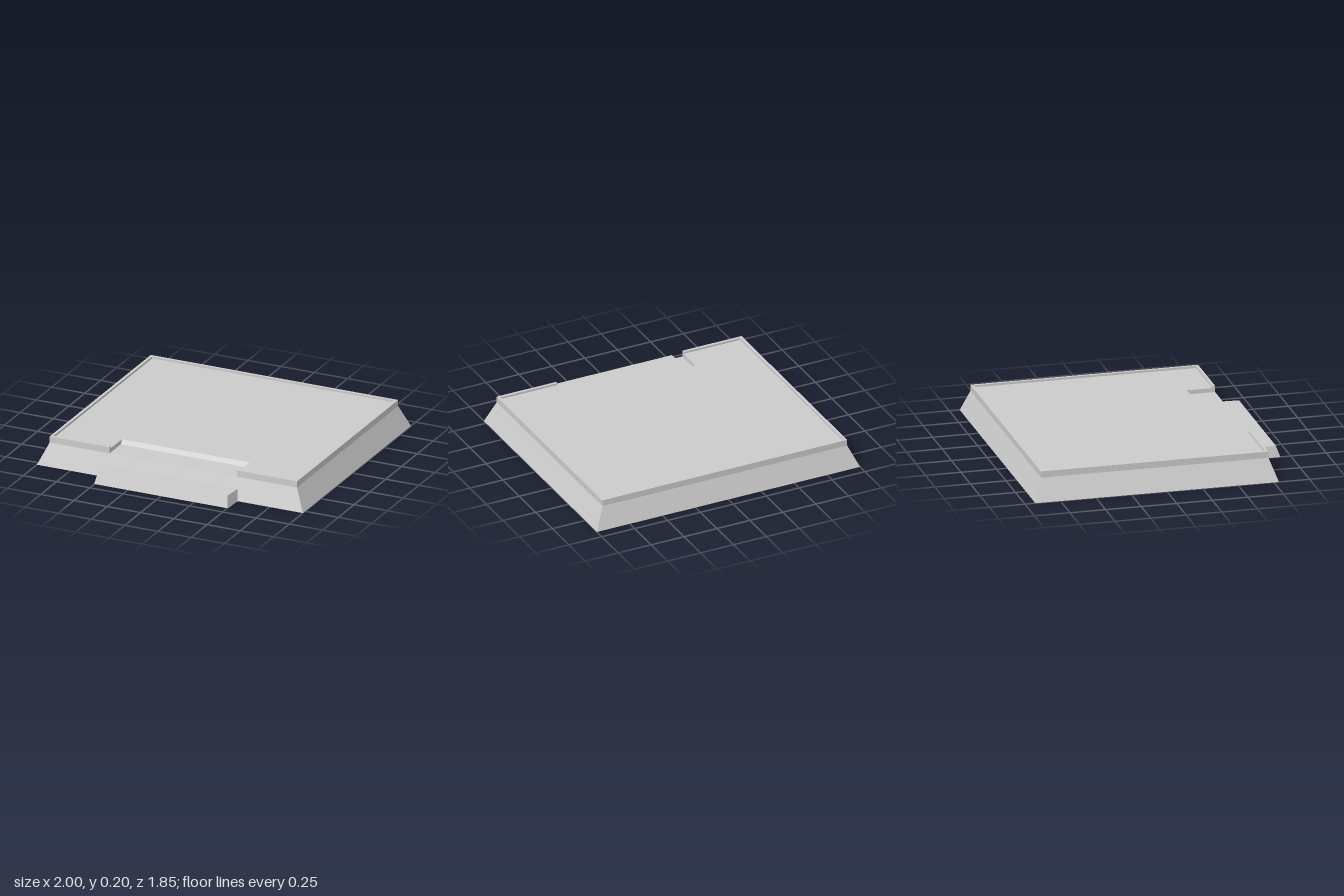
import * as THREE from 'three';

const material = new THREE.MeshStandardMaterial({ color: 0xcccccc, flatShading: true });

function part(name, geometry) {
  const mesh = new THREE.Mesh(geometry, material);
  mesh.name = name;
  return mesh;
}

// Closed four-sided solid between two rings of [x, z] corners,
// ordered front left, front right, back right, back left as seen on screen.
function frustum(low, high, height) {
  const a = low.map(([x, z]) => [x, 0, z]);
  const b = high.map(([x, z]) => [x, height, z]);
  const points = [];
  const quad = (p, q, r, s) => points.push(...p, ...q, ...r, ...p, ...r, ...s);
  for (let i = 0; i < 4; i++) {
    const j = (i + 1) % 4;
    quad(a[i], a[j], b[j], b[i]);
  }
  quad(...b);
  quad(a[3], a[2], a[1], a[0]);
  const geometry = new THREE.BufferGeometry();
  geometry.setAttribute('position', new THREE.Float32BufferAttribute(points, 3));
  geometry.computeVertexNormals();
  return geometry;
}

// Ring symmetric in x with separate half widths at front and back
const ring = (wFront, zFront, wBack, zBack) =>
  [[-wFront, zFront], [wFront, zFront], [wBack, zBack], [-wBack, zBack]];

// Floor plan of [x, z] points raised from y0 to y1
function slab(plan, y0, y1) {
  const shape = new THREE.Shape(plan.map(([x, z]) => new THREE.Vector2(x, -z)));
  const geometry = new THREE.ExtrudeGeometry(shape, { depth: y1 - y0, bevelEnabled: false });
  return geometry.rotateX(-Math.PI / 2).translate(0, y0, 0);
}

export function createModel() {
  const group = new THREE.Group();
  const ledge = 0.155, floor = 0.185, top = 0.2, notch = 0.48;

  // Sloping foundation
  group.add(part('foundation', frustum(
    ring(1, 0.785, 1, -0.927), ring(0.93, 0.73, 0.93, -0.87), ledge)));

  // Raised rim, open at the entrance
  group.add(part('rim', slab([
    [-notch, 0.73], [-notch, 0.71], [-0.91, 0.71], [-0.91, -0.85], [0.91, -0.85], [0.91, 0.71],
    [notch, 0.71], [notch, 0.73], [0.93, 0.73], [0.93, -0.87], [-0.93, -0.87], [-0.93, 0.73],
  ], ledge, top)));

  // Floor inside the rim with the entrance cut out
  group.add(part('floor', slab([
    [-0.91, 0.71], [-notch, 0.71], [-notch, 0.53], [notch, 0.53], [notch, 0.71],
    [0.91, 0.71], [0.91, -0.85], [-0.91, -0.85],
  ], ledge, floor)));

  // Sloped riser at the back of the entrance
  const riser = frustum(ring(notch, 0.552, notch, 0.53), ring(notch, 0.531, notch, 0.53), floor - ledge);
  group.add(part('entranceRiser', riser.translate(0, ledge, 0)));

  // Front step with leaning sides
  group.add(part('frontStep', frustum(
    ring(0.502, 0.927, 0.51, 0.78), ring(0.486, 0.9, 0.495, 0.755), 0.078)));

  return group;
}
